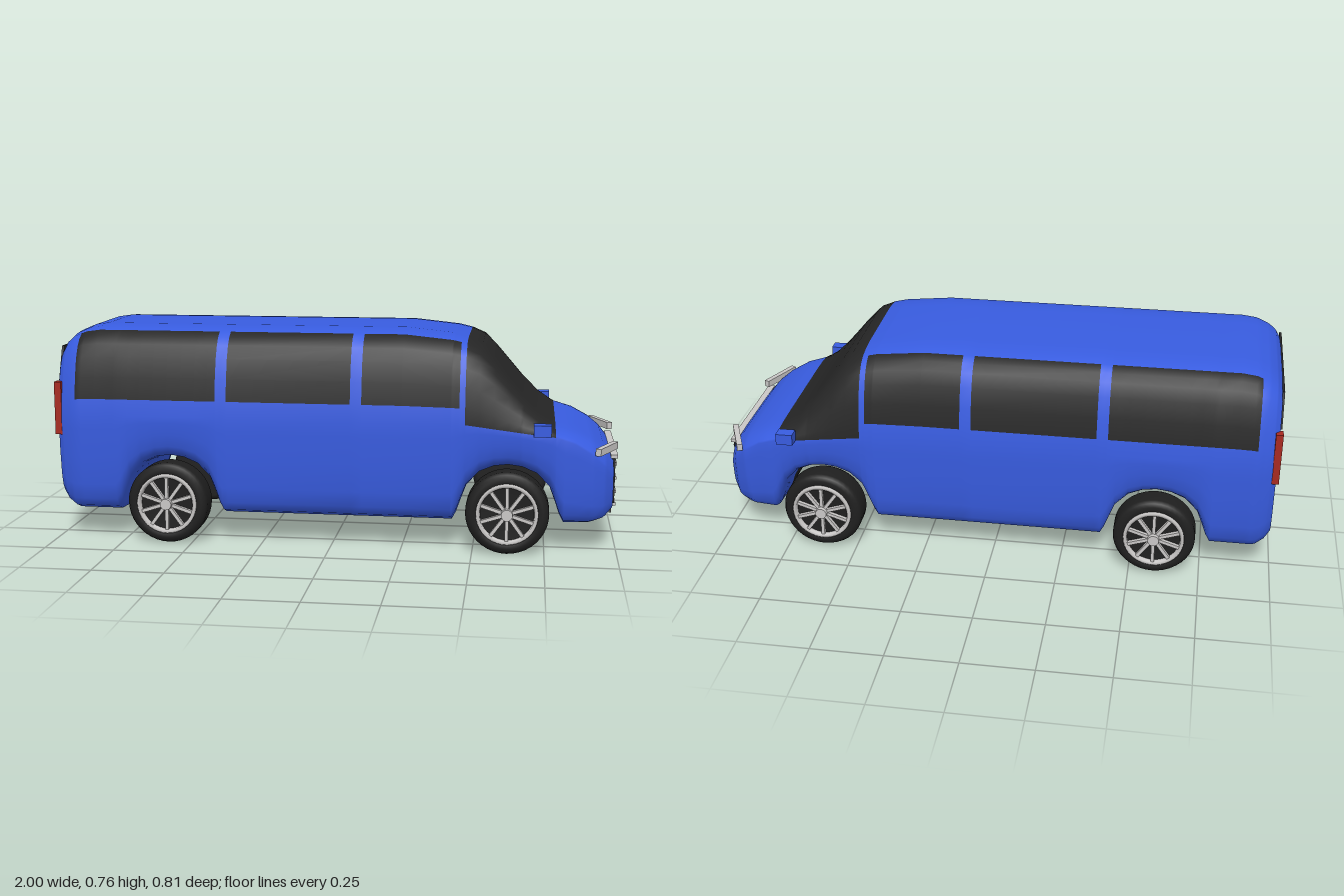
import * as THREE from 'three';

const mat = (name, color, side = THREE.FrontSide) => {
  const m = new THREE.MeshStandardMaterial({ color, side });
  m.name = name;
  return m;
};

// linear lookup in a list of [x, value]
function lookup(keys, x) {
  if (x <= keys[0][0]) return keys[0][1];
  for (let i = 1; i < keys.length; i++) {
    const [x0, v0] = keys[i - 1], [x1, v1] = keys[i];
    if (x <= x1) return v0 + (v1 - v0) * (x - x0) / (x1 - x0);
  }
  return keys[keys.length - 1][1];
}

const AXLES = [-0.585, 0.62];
const WINDOWS = [[-0.92, -0.41], [-0.37, 0.07], [0.11, 0.45]];
const SHIELD = [0.47, 0.78];

// body outline along x: top, beltline, half width, underside
const TOP = [[-0.99, 0.69], [-0.975, 0.715], [-0.95, 0.737], [-0.9, 0.758], [-0.85, 0.765], [0.25, 0.765],
  [0.42, 0.747], [0.47, 0.735], [0.52, 0.713], [0.57, 0.66], [0.66, 0.55], [0.72, 0.487], [0.78, 0.443],
  [0.85, 0.425], [0.91, 0.395], [0.95, 0.365], [0.985, 0.325]];
const BELT = [[0.45, 0.455], [0.78, 0.415], [0.85, 0.39], [0.91, 0.35], [0.95, 0.31], [0.985, 0.26]];
const WIDTH = [[-0.99, 0.335], [-0.97, 0.35], [-0.92, 0.367], [0.7, 0.368], [0.78, 0.361], [0.85, 0.351],
  [0.92, 0.335], [0.96, 0.31], [0.985, 0.27]];
const ARCH = [[-0.195, 0.09], [-0.18, 0.12], [-0.165, 0.165], [-0.145, 0.22], [-0.1, 0.27], [-0.05, 0.293], [0, 0.3],
  [0.05, 0.293], [0.1, 0.27], [0.145, 0.22], [0.165, 0.165], [0.18, 0.12], [0.195, 0.09]];
const BOTTOM = [[-0.99, 0.14], [-0.97, 0.112], [-0.94, 0.09],
  ...AXLES.flatMap(a => ARCH.map(([d, y]) => [a + d, y])),
  [0.9, 0.09], [0.95, 0.105], [0.985, 0.14]];

// half section from bottom centre to roof centre: [width fraction, height]
const SECTION = [[0, 0.09], [0.45, 0.09], [0.75, 0.098], [0.87, 0.115], [0.93, 0.145], [0.965, 0.2], [0.99, 0.3],
  [1, 0.4], [1, 0.45], [0.985, 0.51], [0.95, 0.59], [0.9, 0.66], [0.84, 0.705], [0.78, 0.732], [0.7, 0.75],
  [0.57, 0.76], [0.4, 0.765], [0, 0.765]];
const BELT_ROW = 8, SILL_ROW = 9, HEAD_ROW = 14;

function bodyGeometry() {
  const all = [...TOP, ...BELT, ...WIDTH, ...BOTTOM].map(k => k[0]).concat(WINDOWS.flat(), SHIELD);
  const xs = [...new Set(all.map(x => Math.round(x * 1000) / 1000))].sort((a, b) => a - b);
  const n = SECTION.length, ring = 2 * n - 2;
  const pos = [], faces = [[], [], []]; // paint, glass, underside
  const addRing = x => {
    const top = lookup(TOP, x), belt = lookup(BELT, x), w = lookup(WIDTH, x), bottom = lookup(BOTTOM, x);
    for (let j = 0; j < ring; j++) {
      const [f, h] = SECTION[j < n ? j : ring - j];
      const y = h <= 0.45 ? bottom + (h - 0.09) / 0.36 * (belt - bottom)
        : belt + (h - 0.45) / 0.315 * (top - belt);
      pos.push(x, y, (j < n ? 1 : -1) * f * w);
    }
  };
  xs.forEach(addRing);
  for (let i = 0; i < xs.length - 1; i++) {
    const x = (xs[i] + xs[i + 1]) / 2;
    const inside = ([a, b]) => x > a && x < b;
    const overWheel = AXLES.some(a => Math.abs(x - a) < 0.17);
    for (let j = 0; j < ring; j++) {
      const row = j < n - 1 ? j : ring - 1 - j, k = (j + 1) % ring;
      let g = 0;
      if (inside(SHIELD) && row >= BELT_ROW) g = 1;
      else if (WINDOWS.some(inside) && row >= SILL_ROW && row < HEAD_ROW) g = 1;
      else if (row === 0 && !overWheel && x > -0.94) g = 2;
      const a = i * ring + j, b = a + ring, c = (i + 1) * ring + k, d = i * ring + k;
      faces[g].push(a, b, c, a, c, d);
    }
  }
  // flat nose and tail caps
  for (const x of [xs[0], xs[xs.length - 1]]) {
    const start = pos.length / 3;
    addRing(x);
    pos.push(x, (lookup(TOP, x) + lookup(BOTTOM, x)) / 2, 0);
    for (let j = 0; j < ring; j++) {
      const a = start + j, b = start + (j + 1) % ring;
      faces[0].push(start + ring, ...(x < 0 ? [a, b] : [b, a]));
    }
  }
  const geo = new THREE.BufferGeometry();
  geo.setAttribute('position', new THREE.Float32BufferAttribute(pos, 3));
  geo.setIndex(faces.flat());
  let at = 0;
  faces.forEach((f, g) => { geo.addGroup(at, f.length, g); at += f.length; });
  geo.computeVertexNormals();
  return geo;
}

export function createModel() {
  const paint = mat('blue paint', 0x385ce0);
  const glass = mat('dark glass', 0x262626);
  const rubber = mat('black rubber', 0x1f1f1f);
  const chrome = mat('chrome', 0xc9c7c6);
  const red = mat('red lamp', 0xa82a20);

  const van = new THREE.Group();
  van.name = 'van';
  const add = (parent, name, geo, material, x = 0, y = 0, z = 0) => {
    const m = new THREE.Mesh(geo, material);
    m.name = name;
    m.position.set(x, y, z);
    parent.add(m);
    return m;
  };
  const box = (name, material, w, h, d, x, y, z) =>
    add(van, name, new THREE.BoxGeometry(w, h, d), material, x, y, z);

  add(van, 'body', bodyGeometry(), [paint, glass, rubber]);

  // grille with chrome bars
  box('grille', glass, 0.02, 0.165, 0.45, 0.982, 0.243, 0);
  box('grilleTopBar', chrome, 0.025, 0.013, 0.465, 0.9875, 0.329, 0);
  for (const y of [0.155, 0.2, 0.249, 0.299])
    box('grilleBar', chrome, 0.015, 0.01, 0.43, 0.99, y, 0);

  // chin panel below the grille
  const chin = new THREE.Shape([[-0.14, 0.105], [0.14, 0.105], [0.1, 0.14], [-0.1, 0.14]]
    .map(p => new THREE.Vector2(...p)));
  const chinMesh = add(van, 'chinPanel', new THREE.ExtrudeGeometry(chin, { depth: 0.008, bevelEnabled: false }),
    rubber, 0.98, 0, 0);
  chinMesh.rotation.y = Math.PI / 2;

  // rear window and lamps
  const pane = new THREE.Shape([[-0.3, 0.57], [0.3, 0.57], [0.255, 0.69], [-0.255, 0.69]]
    .map(p => new THREE.Vector2(...p)));
  const rear = add(van, 'rearWindow', new THREE.ExtrudeGeometry(pane, { depth: 0.008, bevelEnabled: false }),
    glass, -0.988, 0, 0);
  rear.rotation.y = -Math.PI / 2;
  box('rearLampStrip', red, 0.008, 0.012, 0.62, -0.991, 0.425, 0);

  for (const s of [1, -1]) {
    box('rearLamp', red, 0.025, 0.19, 0.035, -0.9875, 0.475, s * 0.328);
    const lamp = box('headlight', chrome, 0.02, 0.025, 0.165, 0.959, 0.363, s * 0.265);
    lamp.rotation.y = -s * 0.41;
    box('mirror', paint, 0.06, 0.04, 0.045, 0.735, 0.443, s * 0.382);
    box('mirrorStem', rubber, 0.03, 0.015, 0.04, 0.735, 0.43, s * 0.35);
  }

  // wheels: tyre profile spun about the axle, rim, spokes and hub
  const tyre = new THREE.LatheGeometry([[0, -0.05], [0.125, -0.05], [0.138, -0.045], [0.145, -0.032], [0.145, 0.032],
    [0.138, 0.045], [0.125, 0.05], [0.108, 0.05], [0.1, 0.042], [0, 0.042]]
    .map(p => new THREE.Vector2(...p)), 40).rotateX(Math.PI / 2);
  const rim = new THREE.LatheGeometry([[0.093, 0.038], [0.108, 0.038], [0.108, 0.056], [0.104, 0.06], [0.095, 0.058],
    [0.093, 0.038]].map(p => new THREE.Vector2(...p)), 40).rotateX(Math.PI / 2);
  const hub = new THREE.CylinderGeometry(0.02, 0.022, 0.03, 20).rotateX(Math.PI / 2);
  const spoke = new THREE.BoxGeometry(0.085, 0.012, 0.014).translate(0.055, 0, 0.049);
  for (const x of AXLES) for (const s of [1, -1]) {
    const wheel = new THREE.Group();
    wheel.name = 'wheel';
    wheel.position.set(x, 0.145, s * 0.33);
    if (s < 0) wheel.rotation.y = Math.PI;
    add(wheel, 'tyre', tyre, rubber);
    add(wheel, 'rim', rim, chrome);
    add(wheel, 'hub', hub, chrome, 0, 0, 0.055);
    for (let i = 0; i < 10; i++)
      add(wheel, 'spoke', spoke, chrome).rotation.z = (i + 0.5) * Math.PI / 5;
    van.add(wheel);
  }
  return van;
}
